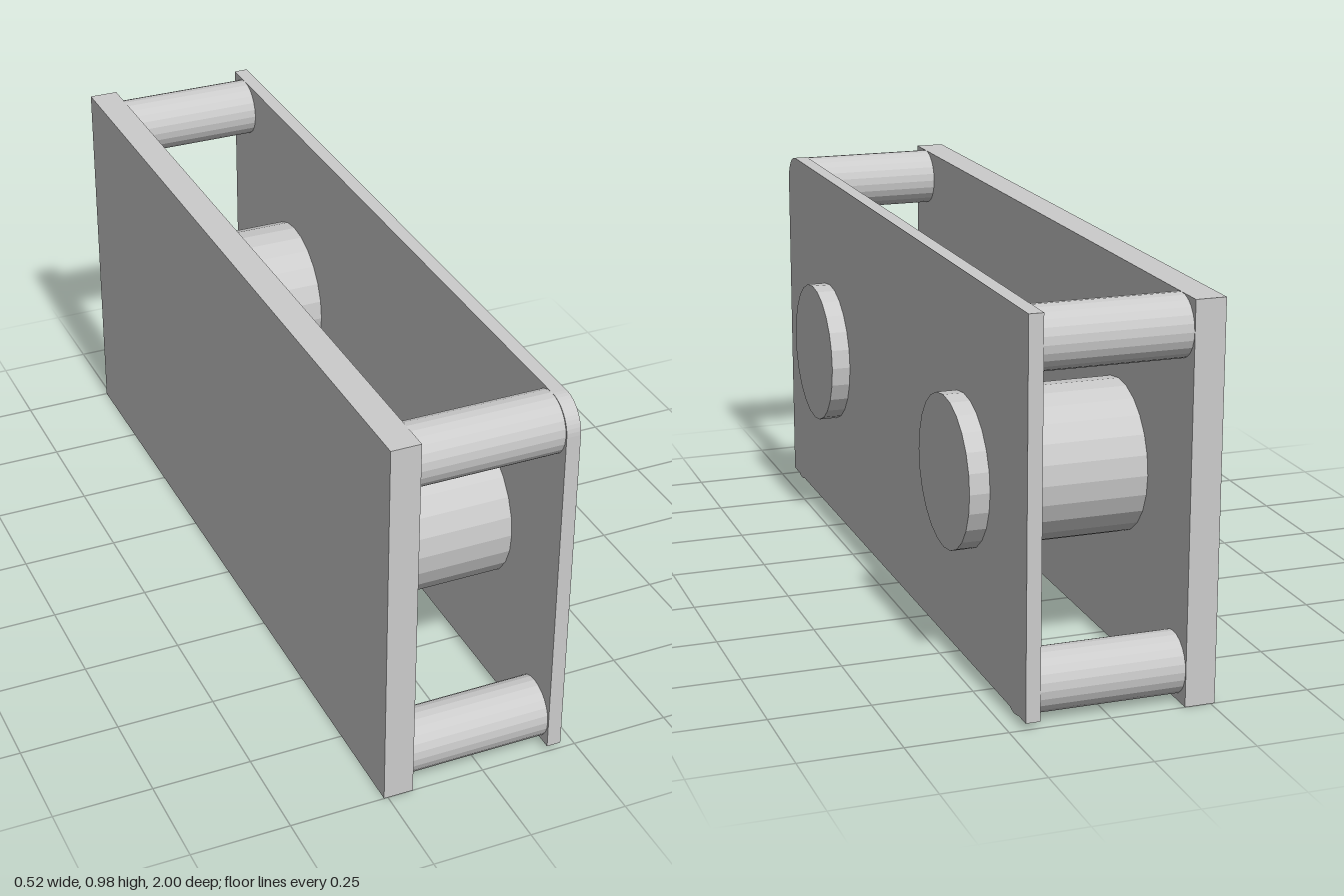
import * as THREE from 'three';

const material = new THREE.MeshStandardMaterial({ color: 0xcccccc, flatShading: true });

function addPart(group, name, geometry, x = 0, y = 0, z = 0) {
  const mesh = new THREE.Mesh(geometry, material);
  mesh.name = name;
  mesh.position.set(x, y, z);
  group.add(mesh);
}

// Cylinder lying along x between x0 and x1
function addRod(group, name, radius, x0, x1, y, z) {
  const geometry = new THREE.CylinderGeometry(radius, radius, x1 - x0, 24).rotateZ(-Math.PI / 2);
  addPart(group, name, geometry, (x0 + x1) / 2, y, z);
}

export function createModel() {
  const group = new THREE.Group();
  group.name = 'spacedPlates';
  const top = 0.976, inner = -0.185, outer = 0.21;

  // Thick rectangular plate
  addPart(group, 'thickPlate', new THREE.BoxGeometry(0.075, top, 2), -0.2225, top / 2, 0);

  // Thin plate with one rounded upper corner at the front (shape x becomes -z)
  const low = 0.016, r = 0.076;
  const shape = new THREE.Shape();
  shape.moveTo(-1, low);
  shape.lineTo(1, low);
  shape.lineTo(1, top);
  shape.lineTo(-1 + r, top);
  shape.absarc(-1 + r, top - r, r, Math.PI / 2, Math.PI, false);
  shape.closePath();
  const plate = new THREE.ExtrudeGeometry(shape, { depth: 0.036, bevelEnabled: false, curveSegments: 6 });
  plate.rotateY(Math.PI / 2);
  addPart(group, 'thinPlate', plate, outer - 0.036);

  // Corner spacers and the two large drums passing through the thin plate
  for (const z of [-0.922, 0.92]) {
    addRod(group, 'upperSpacer', r, inner, outer, 0.9, z);
    addRod(group, 'lowerSpacer', r, inner, outer, 0.086, z);
  }
  for (const z of [-0.565, 0.58]) addRod(group, 'drum', 0.19, inner, 0.26, 0.49, z);

  return group;
}
